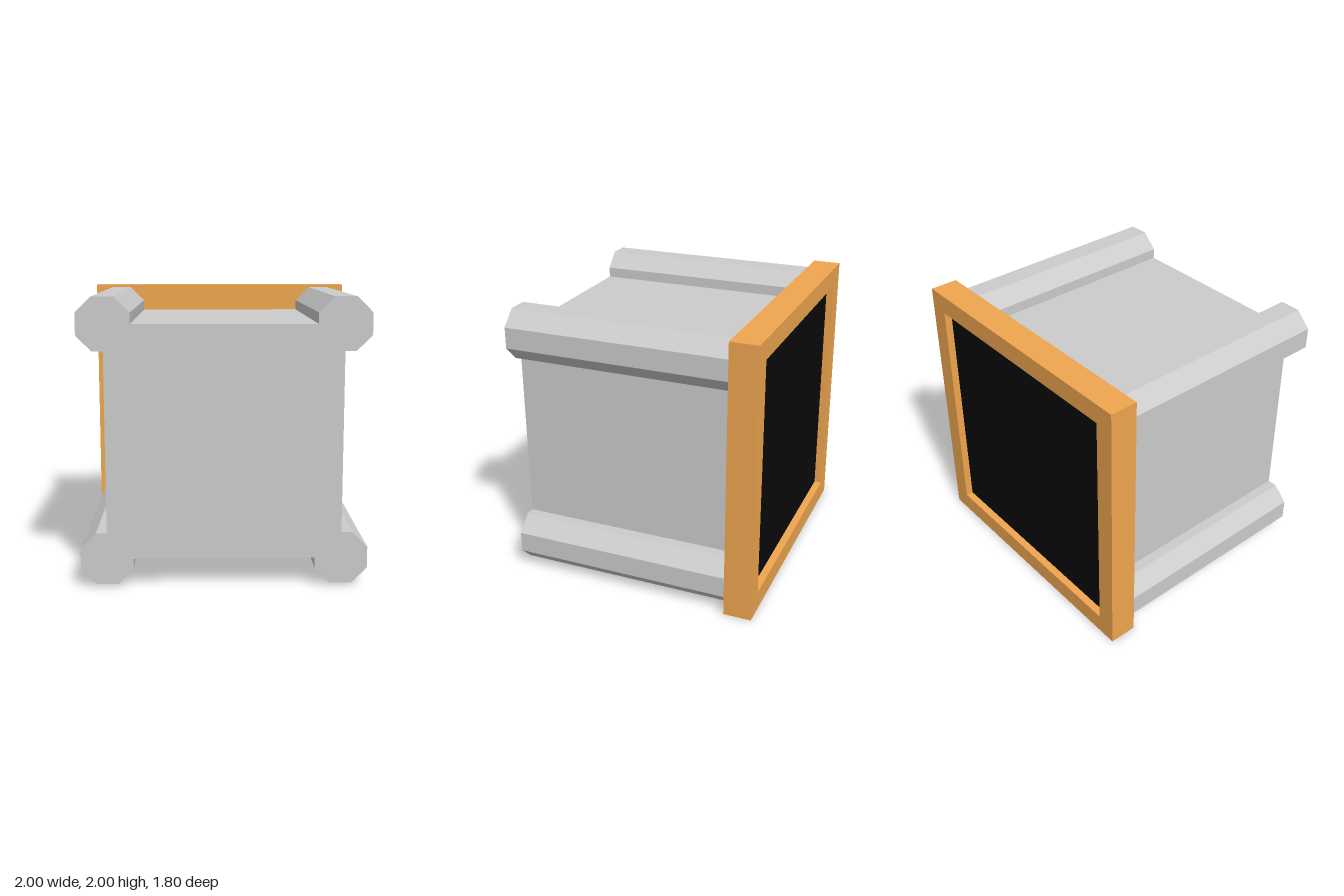
import * as THREE from 'three';

const grey = new THREE.MeshStandardMaterial({ color: 0xcccccc, flatShading: true });
const orange = new THREE.MeshStandardMaterial({ color: 0xefa64f, flatShading: true });
const black = new THREE.MeshStandardMaterial({ color: 0x0a0a0a, flatShading: true });

const BACK = -0.9, PLATE_FRONT = -0.7, FRONT = 0.9; // z levels
const RECESS = 0.06, OPENING = 0.86;                // rear recess depth and half width

function squareShape(h) {
  return new THREE.Shape([[-h, -h], [h, -h], [h, h], [-h, h]].map(([x, y]) => new THREE.Vector2(x, y)));
}

// Square block with an octagonal post merged into each corner
function bodyShape() {
  const half = 0.8, apothem = 0.18, radius = apothem / Math.cos(Math.PI / 8);
  const corner = [new THREE.Vector2(half, half - apothem)];
  for (let i = 0; i < 6; i++) {
    const a = -3 * Math.PI / 8 + i * Math.PI / 4;
    corner.push(new THREE.Vector2(half + radius * Math.cos(a), half + radius * Math.sin(a)));
  }
  corner.push(new THREE.Vector2(half - apothem, half));
  const points = [], origin = new THREE.Vector2();
  for (let k = 0; k < 4; k++) {
    for (const p of corner) points.push(p.clone().rotateAround(origin, k * Math.PI / 2));
  }
  return new THREE.Shape(points);
}

export function createModel() {
  const group = new THREE.Group();

  function extrude(name, shape, z0, z1, material) {
    const geometry = new THREE.ExtrudeGeometry(shape, { depth: z1 - z0, bevelEnabled: false });
    const mesh = new THREE.Mesh(geometry, material);
    mesh.name = name;
    mesh.position.set(0, 1, z0);
    group.add(mesh);
  }

  extrude('bodyWithCornerPosts', bodyShape(), PLATE_FRONT, FRONT, grey);

  // Rear frame: solid plate with a raised rim around the recess
  extrude('framePlate', squareShape(1), BACK + RECESS, PLATE_FRONT, orange);
  const rim = squareShape(1);
  rim.holes.push(squareShape(OPENING));
  extrude('frameRim', rim, BACK, BACK + RECESS, orange);

  // Dark panel at the bottom of the recess
  extrude('rearPanel', squareShape(OPENING), BACK + RECESS - 0.005, BACK + RECESS, black);

  return group;
}
